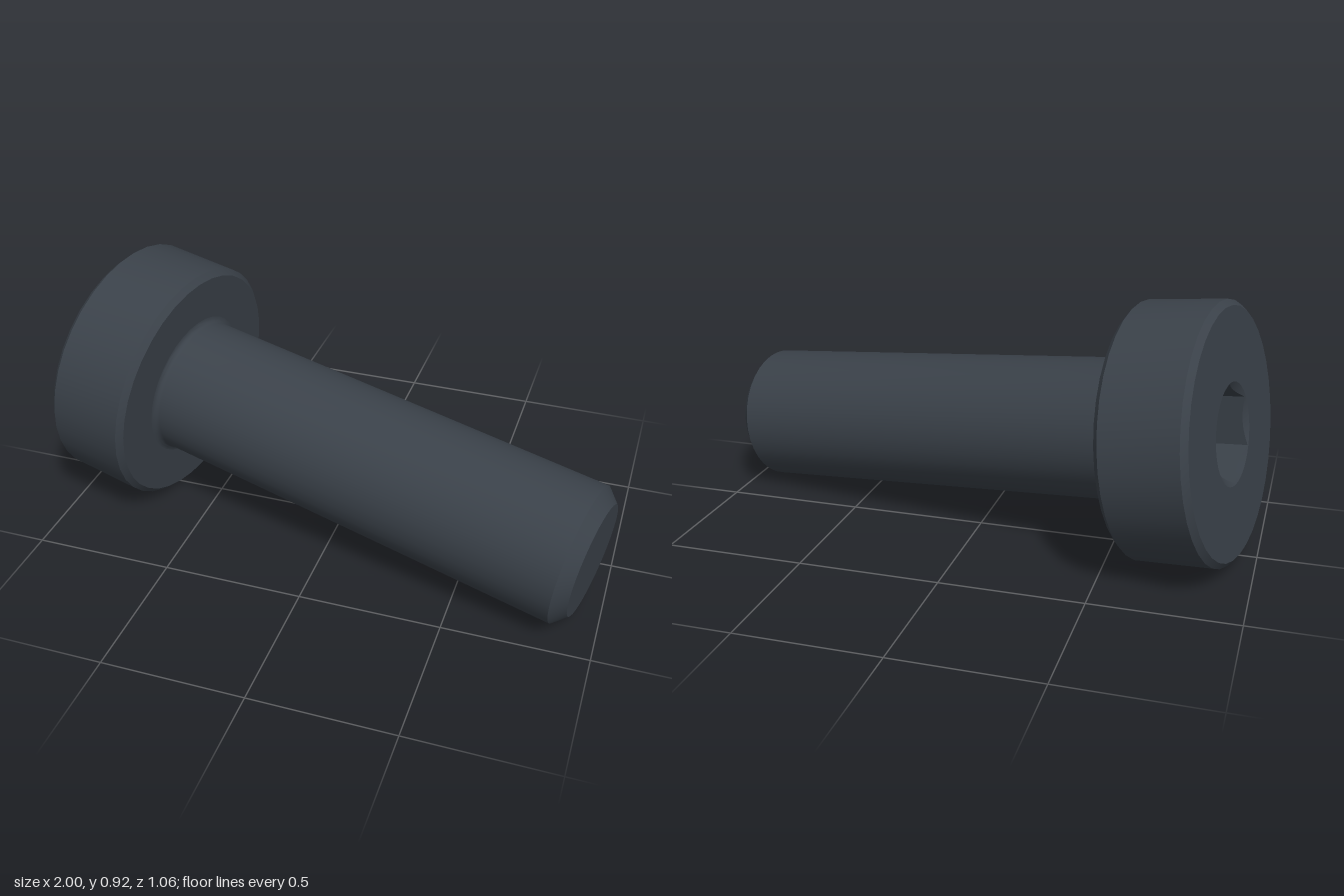
import * as THREE from 'three';
import { toCreasedNormals } from 'three/addons/utils/BufferGeometryUtils.js';

const SIDES = 36;
const LENGTH = 1.905, HEAD_HEIGHT = 0.312;
const HEAD_R = 0.446, SHANK_R = 0.247, FILLET = 0.02;
const SOCKET_R = 0.175, SOCKET_APOTHEM = 0.149, SOCKET_DEPTH = 0.22;

const steel = new THREE.MeshStandardMaterial({ color: 0x3a4149 });
steel.name = 'dark steel';

function lathe(points) {
  return new THREE.LatheGeometry(points.map(([r, y]) => new THREE.Vector2(r, y)), SIDES);
}

function part(name, geometry, crease = 0.5) {
  const mesh = new THREE.Mesh(toCreasedNormals(geometry, crease), steel);
  mesh.name = name;
  return mesh;
}

// Hexagonal recess with a conical lead-in: the two middle rings of a lathe are moved onto a hexagon
function socketGeometry() {
  const geometry = lathe([[0, SOCKET_DEPTH], [1, SOCKET_DEPTH], [1, 0], [SOCKET_R, 0]]);
  const pos = geometry.attributes.position;
  const sector = Math.PI / 3;
  for (let i = 0; i <= SIDES; i++) {
    const a = (i / SIDES) * Math.PI * 2;
    const fromFlat = (a % sector) - sector / 2;
    const r = SOCKET_APOTHEM / Math.cos(fromFlat);
    const rimY = (SOCKET_R - r) * 0.577;
    pos.setXYZ(i * 4 + 1, r * Math.sin(a), SOCKET_DEPTH, r * Math.cos(a));
    pos.setXYZ(i * 4 + 2, r * Math.sin(a), rimY, r * Math.cos(a));
  }
  return geometry;
}

export function createModel() {
  const model = new THREE.Group();
  model.name = 'socket head screw';

  // Screw built along local +y, from the driven face to the tip
  const bevel = 0.02;
  model.add(part('head', lathe([
    [SOCKET_R, 0], [HEAD_R - bevel, 0], [HEAD_R, bevel],
    [HEAD_R, HEAD_HEIGHT - bevel], [HEAD_R - bevel, HEAD_HEIGHT],
    [SHANK_R + FILLET, HEAD_HEIGHT],
  ])));

  model.add(part('hexSocket', socketGeometry(), 0.3));

  // Shank with a small fillet under the head and a chamfered tip
  const shank = [];
  for (let i = 0; i <= 4; i++) {
    const a = (i / 4) * Math.PI / 2;
    shank.push([SHANK_R + FILLET * (1 - Math.sin(a)), HEAD_HEIGHT + FILLET * (1 - Math.cos(a))]);
  }
  const chamfer = 0.046;
  shank.push([SHANK_R, LENGTH - chamfer], [SHANK_R - chamfer, LENGTH], [0, LENGTH]);
  model.add(part('shank', lathe(shank)));

  // Lay the screw down along its tilted axis
  const axis = new THREE.Vector3(1, -0.127, 0.213).normalize();
  const side = new THREE.Vector3(0, 1, 0).cross(axis).normalize();
  const third = side.clone().cross(axis);
  model.quaternion.setFromRotationMatrix(new THREE.Matrix4().makeBasis(side, axis, third));
  model.position.set(0.952, 0.246, 0.297).addScaledVector(axis, -LENGTH);
  return model;
}
